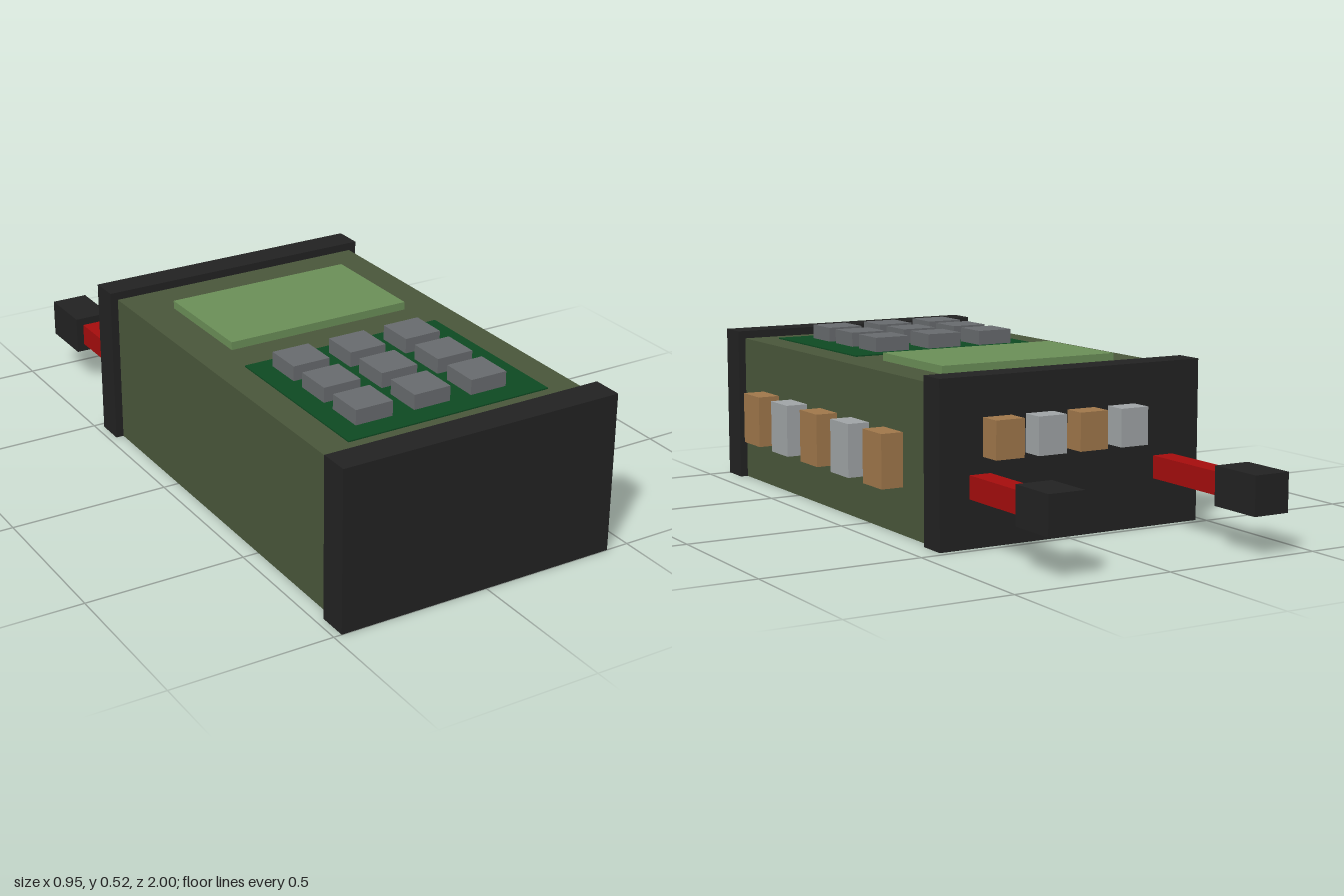
import * as THREE from 'three';

const mat = (name, color) => {
  const m = new THREE.MeshStandardMaterial({ color });
  m.name = name;
  return m;
};

export function createModel() {
  const olive = mat('olive casing', 0x4a573b);
  const black = mat('black rubber', 0x222222);
  const glass = mat('pale green screen', 0x6b8f58);
  const board = mat('dark green panel', 0x0e4a22);
  const keyGrey = mat('key grey', 0x686b6e);
  const copper = mat('copper', 0xa0784b);
  const silver = mat('silver', 0xa1a5a7);
  const red = mat('red lead', 0xa60d0d);

  const model = new THREE.Group();
  model.name = 'handheldMeter';

  // Box given by its extents on each axis
  const box = (name, material, [x0, x1], [y0, y1], [z0, z1], parent = model) => {
    const mesh = new THREE.Mesh(new THREE.BoxGeometry(x1 - x0, y1 - y0, z1 - z0), material);
    mesh.position.set((x0 + x1) / 2, (y0 + y1) / 2, (z0 + z1) / 2);
    mesh.name = name;
    parent.add(mesh);
    return mesh;
  };
  const around = (c, size) => [c - size / 2, c + size / 2];
  const group = (name) => {
    const g = new THREE.Group();
    g.name = name;
    model.add(g);
    return g;
  };

  // Casing and its end caps
  box('casing', olive, [-0.45, 0.402], [0, 0.475], [-0.385, 0.905]);
  box('frontCap', black, [-0.475, 0.427], [0, 0.5], [0.905, 1]);
  box('backCap', black, [-0.475, 0.427], [0, 0.5], [-0.477, -0.385]);

  // Screen and keypad on the top face
  box('screen', glass, [-0.33, 0.28], [0.47, 0.5], [-0.235, 0.138]);
  box('keypadPanel', board, [-0.355, 0.31], [0.472, 0.479], [0.262, 0.833]);
  const keys = group('keys');
  for (let row = 0; row < 3; row++) {
    for (let col = 0; col < 3; col++) {
      box('key', keyGrey, around(-0.228 + col * 0.191, 0.12), [0.475, 0.525],
        around(0.368 + row * 0.167, 0.12), keys);
    }
  }

  // Alternating terminals along the left side
  const sideTerminals = group('sideTerminals');
  for (let i = 0; i < 5; i++) {
    box('sideTerminal', i % 2 ? silver : copper, [0.4, 0.474], [0.145, 0.31],
      around(-0.155 + i * 0.2145, 0.119), sideTerminals);
  }

  // Alternating terminals across the back cap
  const backTerminals = group('backTerminals');
  for (let i = 0; i < 4; i++) {
    box('backTerminal', i % 2 ? copper : silver, around(-0.193 + i * 0.143, 0.095),
      [0.265, 0.38], [-0.549, -0.475], backTerminals);
  }

  // Probes with red leads and black tips
  for (const [side, x, zTip, zLead] of [['right', -0.347, -1, -0.815], ['left', 0.294, -0.932, -0.765]]) {
    const probe = group(side + 'Probe');
    box('lead', red, around(x, 0.07), around(0.181, 0.07), [zLead, -0.475], probe);
    box('tip', black, around(x, 0.118), around(0.181, 0.118), [zTip, zLead], probe);
  }
  return model;
}
